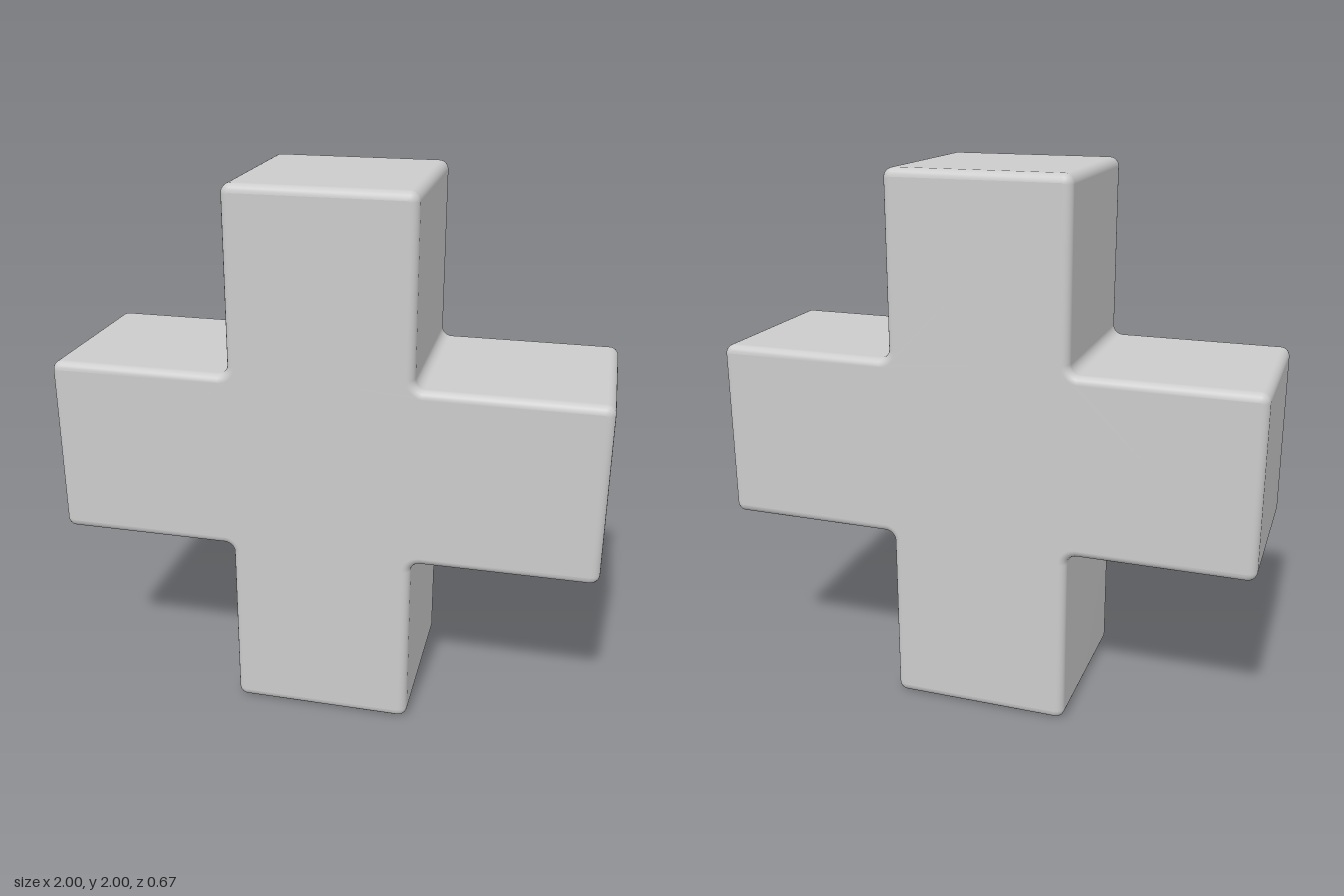
import * as THREE from 'three';
import { mergeVertices } from 'three/addons/utils/BufferGeometryUtils.js';

const HALF = 1 / 3;    // half the width of an arm
const ROUND = 0.035;   // corner radius of the outline
const BEVEL = 0.03;    // edge rounding on front and back

// Plus-shaped outline: one arm repeated at four quarter turns
function crossOutline() {
  const shape = new THREE.Shape();
  const q = Math.PI / 2;
  for (let i = 0; i < 4; i++) {
    const turn = i * q;
    const arc = (x, y, start, end, clockwise) => {
      const c = new THREE.Vector2(x, y).rotateAround(new THREE.Vector2(), turn);
      shape.absarc(c.x, c.y, ROUND, start + turn, end + turn, clockwise);
    };
    arc(1 - ROUND, -HALF + ROUND, -q, 0, false);        // arm tip corners
    arc(1 - ROUND, HALF - ROUND, 0, q, false);
    arc(HALF + ROUND, HALF + ROUND, -q, -2 * q, true);  // fillet to the next arm
  }
  shape.closePath();
  return shape;
}

export function createModel() {
  const group = new THREE.Group();
  group.name = 'roundedCross';

  const depth = 2 * (HALF - BEVEL);
  let geometry = new THREE.ExtrudeGeometry(crossOutline(), {
    depth,
    curveSegments: 6,
    bevelThickness: BEVEL,
    bevelSize: BEVEL,
    bevelOffset: -BEVEL,
    bevelSegments: 5,
  });
  // Weld the surface so that shading runs smoothly over the rounded edges
  geometry.deleteAttribute('uv');
  geometry.deleteAttribute('normal');
  geometry = mergeVertices(geometry, 1e-4);
  geometry.computeVertexNormals();
  geometry.translate(0, 1, -depth / 2);

  const cross = new THREE.Mesh(geometry, new THREE.MeshStandardMaterial({ color: 0xcccccc }));
  cross.name = 'crossBody';
  group.add(cross);
  return group;
}
